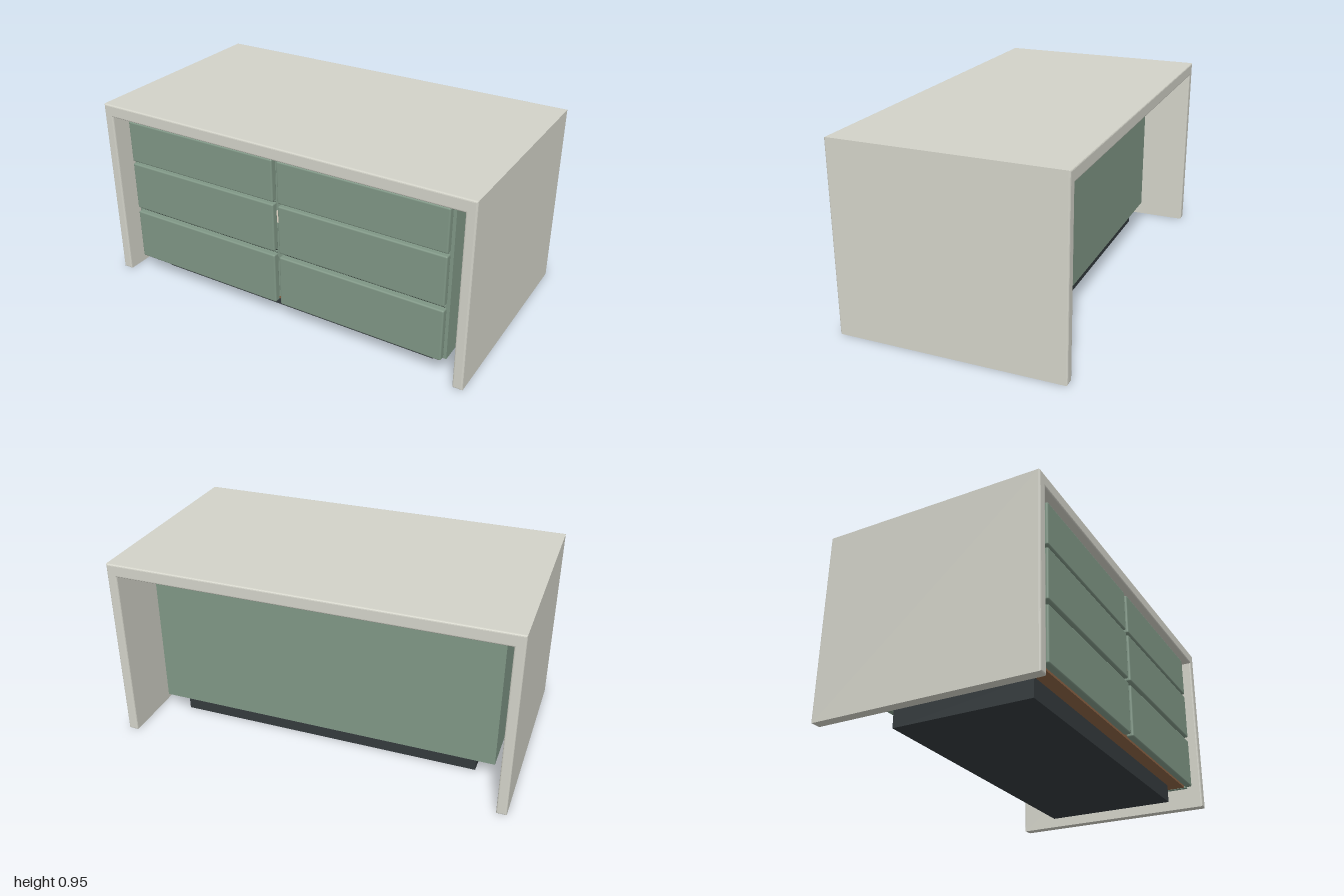
import * as THREE from 'three';
import { RoundedBoxGeometry } from 'three/addons/geometries/RoundedBoxGeometry.js';

const paint = (color) => new THREE.MeshStandardMaterial({ color });

export function createModel() {
  const group = new THREE.Group();
  const stone = paint(0xd2d2c8), green = paint(0x7f9685), dark = paint(0x343a3d);
  const shadow = paint(0x1f2624), wood = paint(0x8a6244), cream = paint(0xe6dccb);

  // Box given by its minimum and maximum corners; a radius softens its edges
  function slab(name, material, [x0, y0, z0], [x1, y1, z1], radius = 0) {
    const size = [x1 - x0, y1 - y0, z1 - z0];
    const geometry = radius
      ? new RoundedBoxGeometry(...size, 2, radius)
      : new THREE.BoxGeometry(...size);
    const mesh = new THREE.Mesh(geometry, material);
    mesh.name = name;
    mesh.position.set((x0 + x1) / 2, (y0 + y1) / 2, (z0 + z1) / 2);
    group.add(mesh);
    return mesh;
  }

  // Waterfall top: one continuous arch of top and two side panels, softly bevelled
  const b = 0.008;
  const outline = [[-1, 0], [-0.95, 0], [-0.95, 0.888], [0.95, 0.888],
    [0.95, 0], [1, 0], [1, 0.952], [-1, 0.952]];
  const arch = new THREE.Shape(outline.map(([x, y]) => new THREE.Vector2(x, y)));
  const archGeometry = new THREE.ExtrudeGeometry(arch, {
    depth: 1.12 - 2 * b, bevelThickness: b, bevelSize: b, bevelOffset: -b, bevelSegments: 3,
  });
  archGeometry.translate(0, 0, -0.56 + b);
  const top = new THREE.Mesh(archGeometry, stone);
  top.name = 'waterfallTop';
  group.add(top);

  // Recessed plinth
  slab('plinth', dark, [-0.79, 0, -0.28], [0.79, 0.095, 0.42]);

  // Cabinet carcass
  slab('backPanel', green, [-0.87, 0.092, -0.325], [0.87, 0.888, -0.3]);
  slab('rearBottomPanel', green, [-0.87, 0.094, -0.3], [0.87, 0.115, 0]);
  slab('frontBottomPanel', wood, [-0.87, 0.094, 0], [0.87, 0.115, 0.49]);
  slab('centreDivider', green, [-0.018, 0.115, -0.3], [0.018, 0.888, 0.5]);
  slab('dividerInsert', cream, [-0.012, 0.535, 0.49], [0.012, 0.6, 0.503]);

  const rows = [[0.095, 0.365], [0.387, 0.642], [0.655, 0.873]];
  for (const side of [-1, 1]) {
    const word = side > 0 ? 'left' : 'right';
    // Mirrors a slab from the +x half to the chosen half
    const half = (name, material, x0, x1, y, z, radius) => slab(word + name, material,
      [Math.min(side * x0, side * x1), y[0], z[0]],
      [Math.max(side * x0, side * x1), y[1], z[1]], radius);

    half('SidePanel', green, 0.868, 0.89, [0.092, 0.888], [-0.325, 0.5]);

    // Drawers with a dark finger gap above each front
    rows.forEach(([y0, y1], i) => {
      half('DrawerFront' + i, green, 0.013, 0.875, [y0, y1], [0.495, 0.532], 0.008);
      half('DrawerBox' + i, wood, 0.04, 0.85, [y0 + 0.025, y1 - 0.03], [0, 0.496]);
      const gapTop = i < 2 ? rows[i + 1][0] : 0.888;
      half('FingerGap' + i, shadow, 0.02, 0.868, [y1 - 0.02, gapTop + (i < 2 ? 0.02 : 0)], [0.45, 0.492]);
      if (i < 2) half('DrawerRail' + i, green, 0.02, 0.87, [y1 + 0.001, y1 + 0.007], [0.45, 0.5]);
    });
  }
  return group;
}
